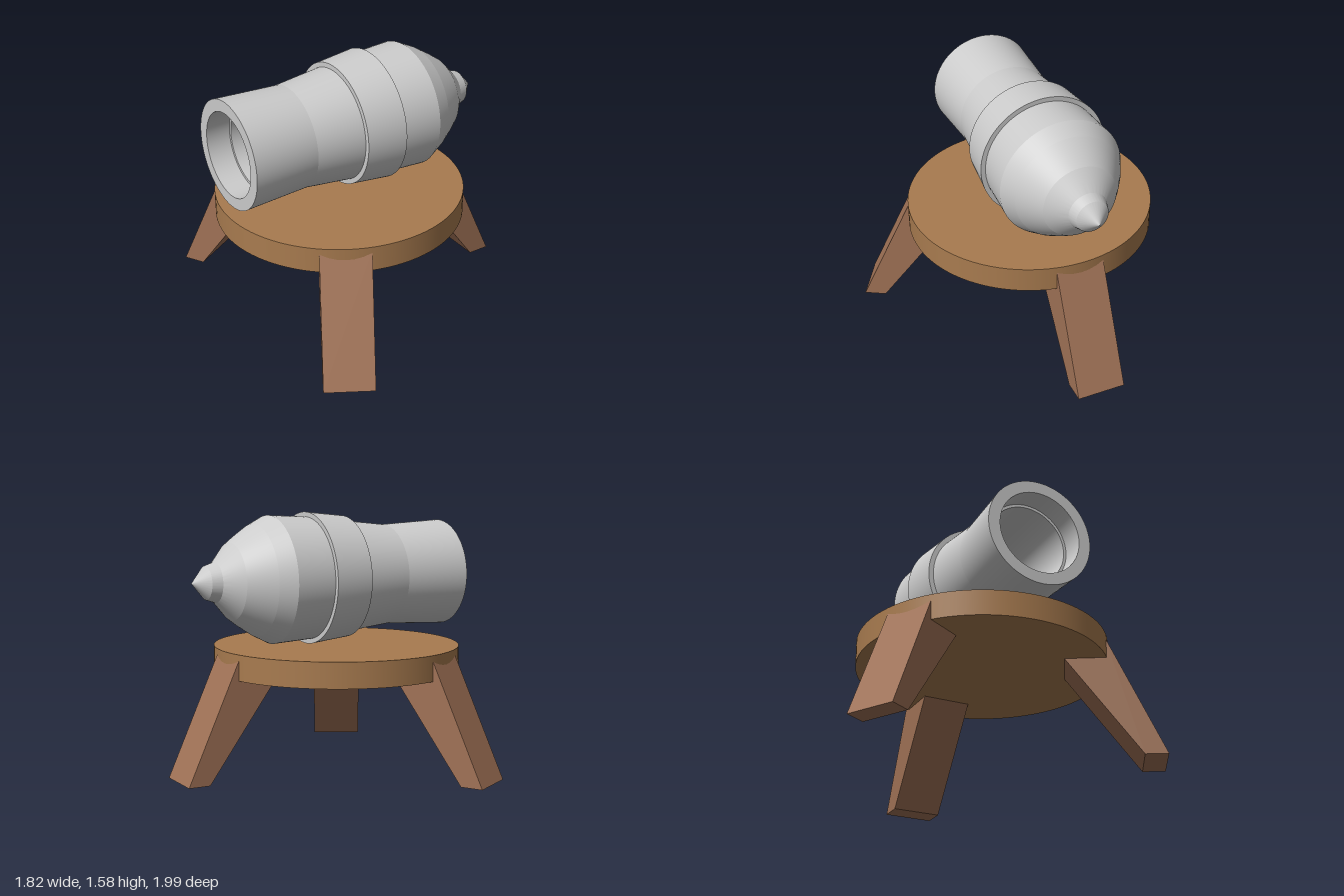
import * as THREE from 'three';
import { toCreasedNormals } from 'three/addons/utils/BufferGeometryUtils.js';

const CX = -0.155, CZ = -0.006; // stool axis

export function createModel() {
  const model = new THREE.Group();
  const grey = new THREE.MeshStandardMaterial({ color: 0xcccccc });
  const seatWood = new THREE.MeshStandardMaterial({ color: 0xa87b4f });
  const legWood = new THREE.MeshStandardMaterial({ color: 0xa07256 });

  const add = (name, geometry, material, parent = model) => {
    const mesh = new THREE.Mesh(geometry, material);
    mesh.name = name;
    parent.add(mesh);
    return mesh;
  };

  // Round stool top
  add('seat', new THREE.CylinderGeometry(0.755, 0.755, 0.155, 96), seatWood)
    .position.set(CX, 0.6825, CZ);

  // Three splayed, tapering legs: side outline (radius, height) extruded to the leg width
  const outline = new THREE.Shape([
    [0.93, 0], [1.065, 0], [0.732, 0.74], [0.395, 0.74],
  ].map(([r, y]) => new THREE.Vector2(r, y)));
  const legGeometry = new THREE.ExtrudeGeometry(outline, { depth: 0.3, bevelEnabled: false });
  legGeometry.translate(0, 0, -0.15);
  const legs = new THREE.Group();
  legs.name = 'legs';
  legs.position.set(CX, 0, CZ);
  model.add(legs);
  for (let i = 0; i < 3; i++) {
    add(`leg${i + 1}`, legGeometry, legWood, legs).rotation.y = (i * Math.PI * 2) / 3;
  }

  // Hollow barrel: bore from its floor out to the rim, then the outside to the pointed tip
  const profile = [
    [0, 0.3], [0.24, 0.3], [0.24, -0.75], [0.257, -0.75], [0.257, -0.9],
    [0.33, -0.9], [0.31, -0.49], [0.343, -0.19],
    [0.373, -0.19], [0.4, 0.06], [0.371, 0.06], // raised band
    [0.385, 0.31], [0.335, 0.41], [0.277, 0.5], [0.23, 0.565], [0.175, 0.615],
    [0.12, 0.665], [0.1, 0.725], [0, 0.815], // nose and knob
  ].map(([r, x]) => new THREE.Vector2(r, x));
  const barrel = toCreasedNormals(new THREE.LatheGeometry(profile, 96), 0.1);
  barrel.rotateZ(-Math.PI / 2);
  add('barrel', barrel, grey).position.set(0, 1.175, CZ);

  return model;
}
